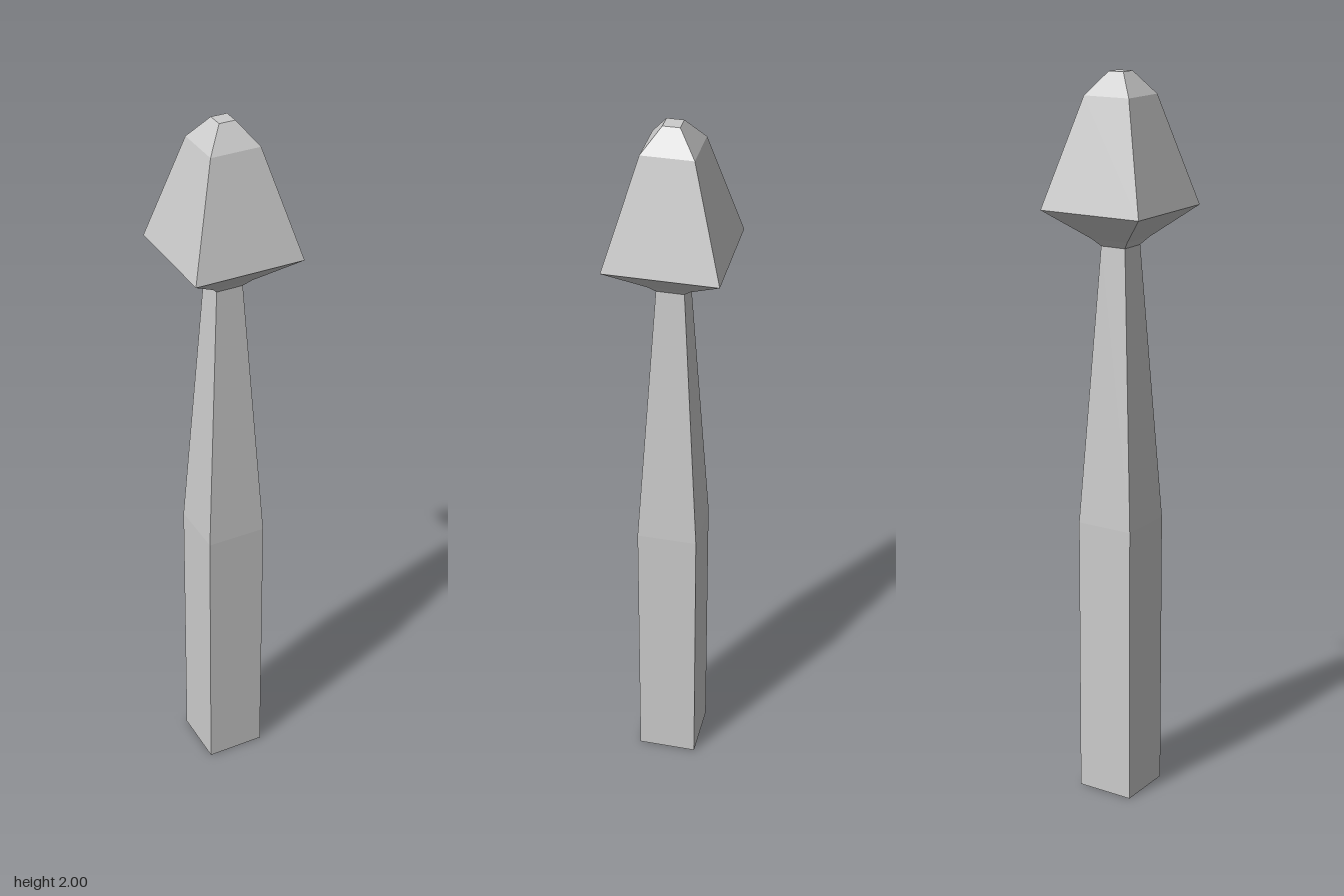
import * as THREE from 'three';

const material = new THREE.MeshStandardMaterial({ color: 0xcccccc, flatShading: true });

// Four-sided turned part from [half width, height] pairs, listed bottom to top
function squareTurned(name, profile) {
  const points = profile.map(([half, y]) => new THREE.Vector2(half * Math.SQRT2, y));
  const mesh = new THREE.Mesh(new THREE.LatheGeometry(points, 4, Math.PI / 4), material);
  mesh.name = name;
  return mesh;
}

export function createModel() {
  const group = new THREE.Group();
  group.name = 'spikedPost';

  // Straight square base that tapers into a narrow neck
  group.add(squareTurned('shaft', [[0, 0], [0.082, 0], [0.082, 0.79], [0.037, 1.55]]));

  // Flared pyramid head with a bevelled underside and a blunt tip
  group.add(squareTurned('head', [
    [0.037, 1.55], [0.055, 1.57], [0.15, 1.65], [0.068, 1.94], [0.022, 2], [0, 2],
  ]));

  return group;
}
